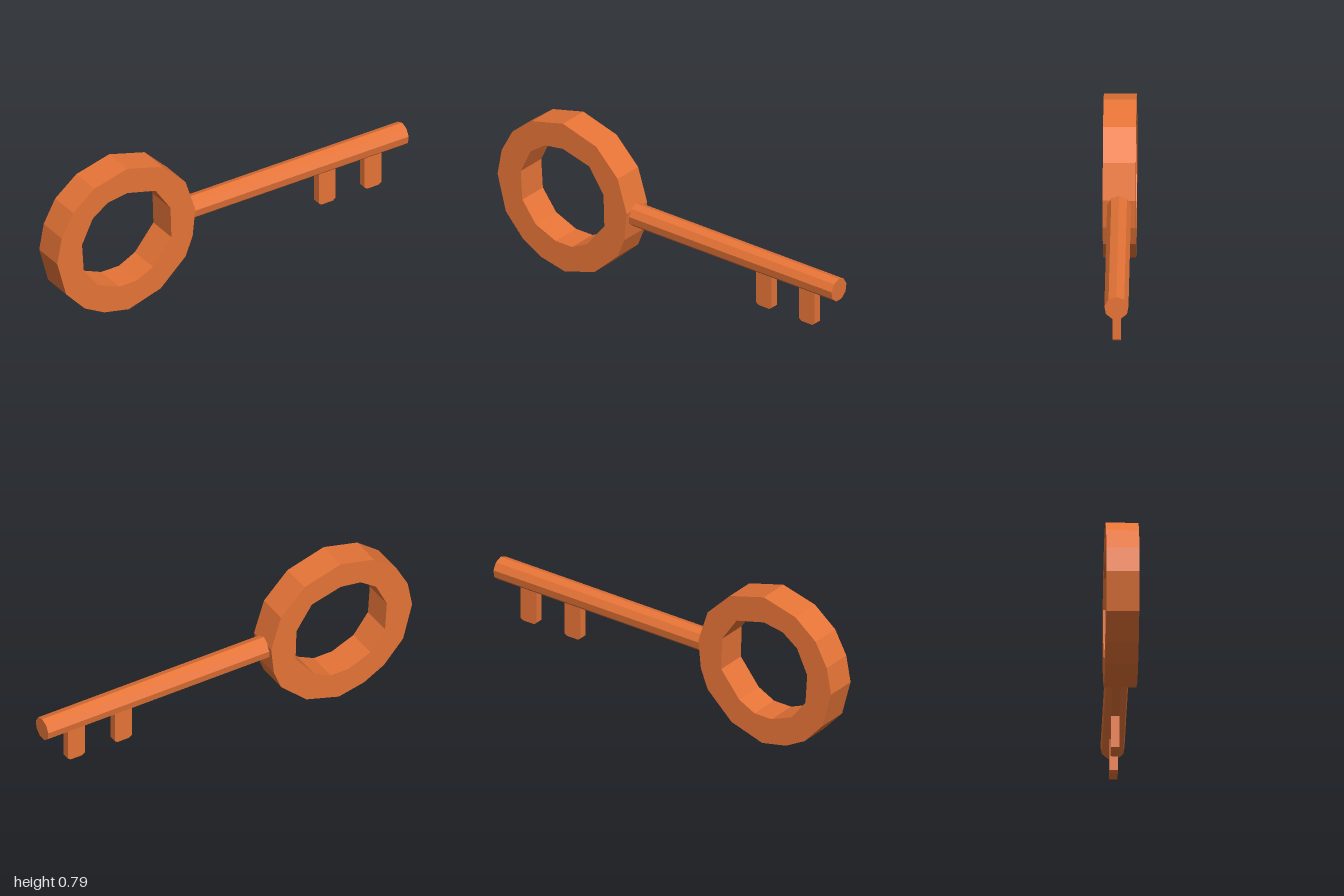
import * as THREE from 'three';

const material = new THREE.MeshStandardMaterial({ color: 0xe67437, flatShading: true });
const toPoints = (pairs) => pairs.map(([x, y]) => new THREE.Vector2(x, y));

// Flat outline extruded evenly to both sides of z = 0
function plate(name, shape, depth) {
  const geometry = new THREE.ExtrudeGeometry(shape, { depth, bevelEnabled: false });
  geometry.translate(0, 0, -depth / 2);
  const mesh = new THREE.Mesh(geometry, material);
  mesh.name = name;
  return mesh;
}

export function createModel() {
  const key = new THREE.Group();
  key.name = 'key';

  // Ring handle with hand-cut, slightly uneven facets: outline counter-clockwise, hole clockwise
  const outer = toPoints([
    [-0.79, 0.74], [-0.91, 0.645], [-0.975, 0.525], [-1, 0.39], [-0.95, 0.205],
    [-0.845, 0.09], [-0.735, 0.03], [-0.595, 0], [-0.415, 0.055], [-0.275, 0.185],
    [-0.235, 0.285], [-0.22, 0.43], [-0.275, 0.6], [-0.405, 0.73], [-0.605, 0.787],
  ]);
  const inner = toPoints([
    [-0.605, 0.652], [-0.445, 0.61], [-0.36, 0.485], [-0.355, 0.32], [-0.46, 0.19],
    [-0.55, 0.145], [-0.65, 0.145], [-0.77, 0.195], [-0.85, 0.3], [-0.86, 0.45],
    [-0.8, 0.575], [-0.715, 0.635],
  ]);
  const ringShape = new THREE.Shape(outer);
  ringShape.holes.push(new THREE.Path(inner));
  key.add(plate('ringHandle', ringShape, 0.156));

  // Nine-sided shaft with one edge pointing up
  const shaftGeometry = new THREE.CylinderGeometry(0.058, 0.058, 1.23, 9, 1, false, Math.PI / 2);
  shaftGeometry.rotateZ(Math.PI / 2);
  const shaft = new THREE.Mesh(shaftGeometry, material);
  shaft.name = 'shaft';
  shaft.position.set(0.385, 0.395, 0);
  key.add(shaft);

  // Two teeth with clipped lower corners
  [0.563, 0.822].forEach((x, i) => {
    const w = 0.047;
    const toothShape = new THREE.Shape(toPoints([
      [-w, 0.36], [-w, 0.178], [-w + 0.014, 0.167], [w - 0.014, 0.167], [w, 0.178], [w, 0.36],
    ]));
    const tooth = plate(`tooth${i + 1}`, toothShape, 0.04);
    tooth.position.x = x;
    key.add(tooth);
  });

  return key;
}
